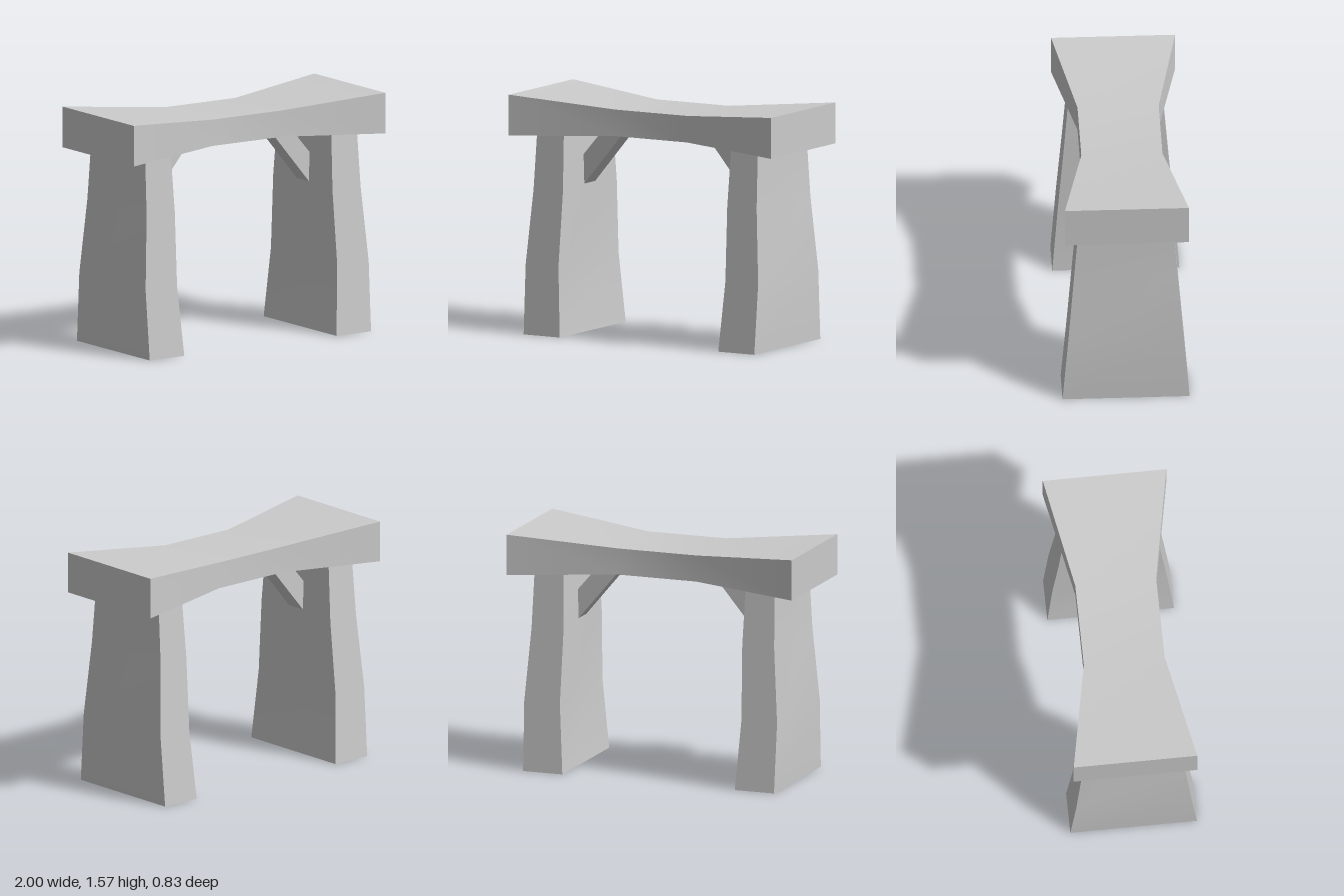
import * as THREE from 'three';
import { toCreasedNormals } from 'three/addons/utils/BufferGeometryUtils.js';

// Joins four-cornered rings (counterclockwise seen from the end) into a tube, optionally capped.
function loft(rings, capped) {
  const index = [];
  const last = (rings.length - 1) * 4;
  for (let i = 0; i < last; i += 4) {
    for (let j = 0; j < 4; j++) {
      const a = i + j, b = i + (j + 1) % 4;
      index.push(a, b, b + 4, a, b + 4, a + 4);
    }
  }
  if (capped) {
    index.push(0, 2, 1, 0, 3, 2);
    index.push(last, last + 1, last + 2, last, last + 2, last + 3);
  }
  const geometry = new THREE.BufferGeometry();
  geometry.setAttribute('position', new THREE.Float32BufferAttribute(rings.flat(2), 3));
  geometry.setIndex(index);
  return toCreasedNormals(geometry, Math.PI / 5);
}

export function createModel() {
  const model = new THREE.Group();
  const material = new THREE.MeshStandardMaterial({ color: 0xcccccc });
  const openMaterial = new THREE.MeshStandardMaterial({ color: 0xcccccc, side: THREE.DoubleSide });

  // Lintel: thin and narrow in the middle, flaring to both ends
  const lintelRings = [
    [-1, 1.3, 1.57, 0.405],
    [-0.275, 1.335, 1.51, 0.265],
    [0.275, 1.335, 1.51, 0.265],
    [1, 1.3, 1.57, 0.405],
  ].map(([x, low, high, z]) => [[x, low, z], [x, low, -z], [x, high, -z], [x, high, z]]);
  const lintel = new THREE.Mesh(loft(lintelRings, true), material);
  lintel.name = 'lintel';
  model.add(lintel);

  // Leg: bowed in front, tapering in depth, open underneath
  const legRings = [
    [0, 0.605, 0.88, 0.415],
    [0.46, 0.637, 0.887, 0.378],
    [0.95, 0.627, 0.851, 0.338],
    [1.315, 0.638, 0.842, 0.309],
  ].map(([y, inner, outer, z]) => [[inner, y, z], [outer, y, z], [outer, y, -z], [inner, y, -z]]);
  const legGeometry = loft(legRings, false);

  // Brace: slanted bar between leg and lintel
  const braceShape = new THREE.Shape([
    [0.628, 0.97], [0.636, 1.16], [0.49, 1.33], [0.323, 1.335],
  ].map(([x, y]) => new THREE.Vector2(x, y)));
  const braceGeometry = new THREE.ExtrudeGeometry(braceShape, { depth: 0.136, bevelEnabled: false });
  braceGeometry.translate(0, 0, -0.068);

  // Both supports; the right one is the left one turned half round
  for (const side of ['left', 'right']) {
    const support = new THREE.Group();
    support.name = side + 'Support';
    const leg = new THREE.Mesh(legGeometry, openMaterial);
    leg.name = side + 'Leg';
    const brace = new THREE.Mesh(braceGeometry, material);
    brace.name = side + 'Brace';
    support.add(leg, brace);
    if (side === 'right') support.rotation.y = Math.PI;
    model.add(support);
  }
  return model;
}
